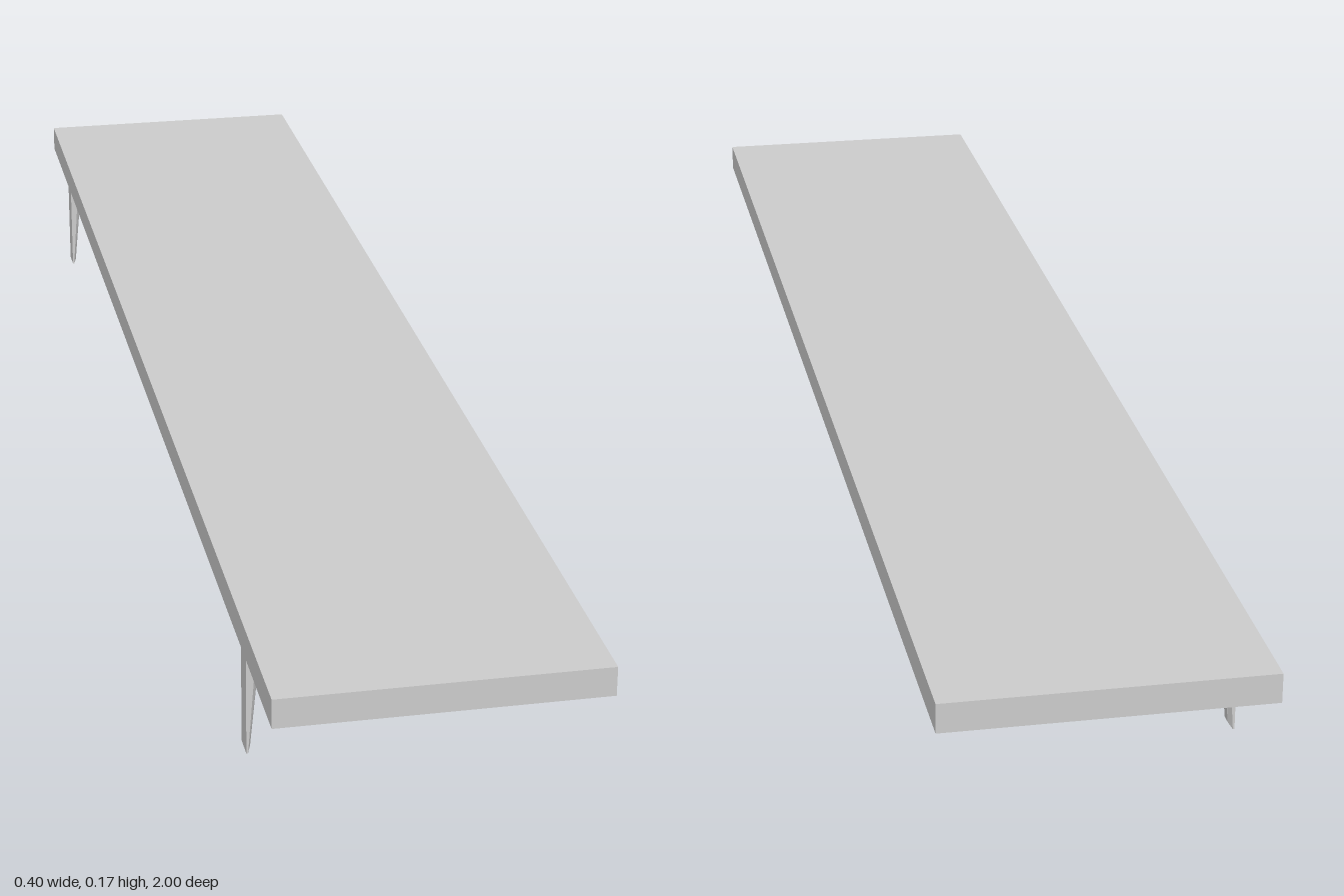
import * as THREE from 'three';

const material = new THREE.MeshStandardMaterial({ color: 0xcccccc, flatShading: true });

// Tapered L bracket with chamfered inner ridge, lofted through three sections
function bracketGeometry() {
  const half = 0.016, ridge = 0.007;
  // each station: back edge, side edge, ridge edge as [x, y]
  const stations = [
    [[-0.196, 0], [-0.194, 0], [-0.19, 0.005]],           // foot
    [[-0.196, 0.131], [-0.185, 0.119], [-0.18, 0.108]],   // corner
    [[-0.077, 0.131], [-0.077, 0.125], [-0.077, 0.123]],  // arm tip
  ];
  const positions = [], index = [];
  for (const [back, side, top] of stations) {
    positions.push(...back, -half, ...back, half, ...side, half,
      ...top, ridge, ...top, -ridge, ...side, -half);
  }
  const n = 6;
  for (let s = 0; s < stations.length - 1; s++) {
    for (let i = 0; i < n; i++) {
      const a = s * n + i, b = s * n + (i + 1) % n;
      index.push(a, b, b + n, a, b + n, a + n);
    }
  }
  // end caps
  const last = (stations.length - 1) * n;
  for (let i = 1; i < n - 1; i++) {
    index.push(0, i + 1, i, last, last + i, last + i + 1);
  }
  const indexed = new THREE.BufferGeometry();
  indexed.setAttribute('position', new THREE.Float32BufferAttribute(positions, 3));
  indexed.setIndex(index);
  const geometry = indexed.toNonIndexed();
  geometry.computeVertexNormals();
  return geometry;
}

export function createModel() {
  const group = new THREE.Group();
  group.name = 'wallShelf';

  // Board
  const board = new THREE.Mesh(new THREE.BoxGeometry(0.396, 0.037, 2), material);
  board.name = 'shelfBoard';
  board.position.y = 0.1495;
  group.add(board);

  // Pair of brackets
  const geometry = bracketGeometry();
  for (const [name, z] of [['frontBracket', 0.813], ['backBracket', -0.807]]) {
    const bracket = new THREE.Mesh(geometry, material);
    bracket.name = name;
    bracket.position.z = z;
    group.add(bracket);
  }
  return group;
}
